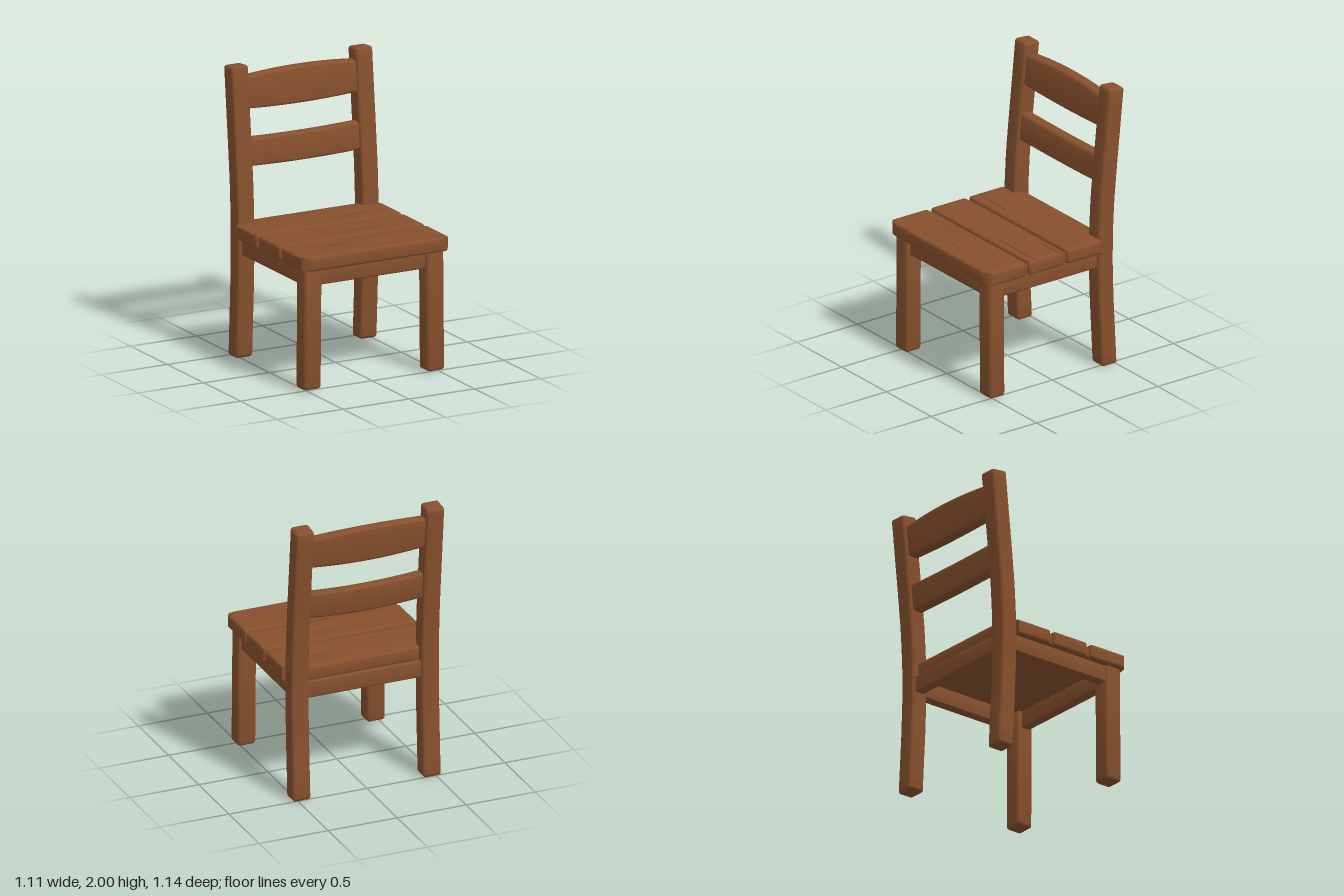
import * as THREE from 'three';
import { toCreasedNormals } from 'three/addons/utils/BufferGeometryUtils.js';

const wood = new THREE.MeshStandardMaterial({ color: 0x87502d });
wood.name = 'brown wood';

// Closed rounded-rectangle section (counter-clockwise), with optional grooves on its +a side
function section(ha, hb, r, grooves, u) {
  const pts = [];
  [[1, 1], [-1, 1], [-1, -1], [1, -1]].forEach(([sa, sb], q) => {
    for (let k = 0; k <= 3; k++) {
      const t = (q + k / 3) * Math.PI / 2;
      pts.push([sa * (ha - r) + r * Math.cos(t), sb * (hb - r) + r * Math.sin(t)]);
    }
  });
  for (const [b, u0, u1, depth] of grooves) {
    const s = THREE.MathUtils.clamp((u - u0) / (u1 - u0), 0, 1);
    const d = depth * Math.sin(s * Math.PI);
    pts.push([ha, b - 0.006], [ha - d, b], [ha, b + 0.006]);
  }
  return pts;
}

// Soft-edged beam running from u0 to u1; place(u, a, b) gives the position [x, y, z]
function beam(name, u0, u1, ha, hb, r, place, { steps = 1, grooves = [] } = {}) {
  const rings = [];
  for (let k = 0; k < 3; k++) {
    const t = k * Math.PI / 6;
    rings.push([u0 + r * (1 - Math.sin(t)), r * (1 - Math.cos(Math.PI / 2 - t))]);
  }
  rings.length = 0;
  for (let k = 0; k < 3; k++) {
    const t = k * Math.PI / 6;
    rings.push([u0 + r * (1 - Math.cos(t)), r * (1 - Math.sin(t))]);
  }
  for (let k = 0; k <= steps; k++) rings.push([u0 + r + (u1 - u0 - 2 * r) * k / steps, 0]);
  for (let k = 2; k >= 0; k--) rings.push([u0 + u1 - rings[k][0], rings[k][1]]);

  const pos = [], index = [];
  let n = 0;
  for (const [u, inset] of rings) {
    const pts = section(ha - inset, hb - inset, Math.max(r - inset, 0.15 * r), grooves, u);
    n = pts.length;
    for (const [a, b] of pts) pos.push(...place(u, a, b));
  }
  for (let i = 0; i < rings.length - 1; i++) {
    for (let j = 0; j < n; j++) {
      const p = i * n + j, q = i * n + (j + 1) % n;
      index.push(p, q, q + n, p, q + n, p + n);
    }
  }
  // End caps
  const last = (rings.length - 1) * n, c = rings.length * n;
  pos.push(...place(u0, 0, 0), ...place(u1, 0, 0));
  for (let j = 0; j < n; j++) {
    const k = (j + 1) % n;
    index.push(c, k, j, c + 1, last + j, last + k);
  }
  const geo = new THREE.BufferGeometry();
  geo.setAttribute('position', new THREE.Float32BufferAttribute(pos, 3));
  geo.setIndex(index);
  const mesh = new THREE.Mesh(toCreasedNormals(geo, 0.7), wood);
  mesh.name = name;
  return mesh;
}

// Depth of the curved back posts at a given height
const postCurve = [[0, -0.451], [0.2, -0.441], [0.45, -0.428], [0.7, -0.42], [0.95, -0.421],
  [1.2, -0.434], [1.45, -0.457], [1.7, -0.482], [2, -0.511]];
function postZ(y) {
  let i = 0;
  while (i < postCurve.length - 2 && y > postCurve[i + 1][0]) i++;
  const [y0, z0] = postCurve[i], [y1, z1] = postCurve[i + 1];
  return z0 + (z1 - z0) * (y - y0) / (y1 - y0);
}

export function createModel() {
  const chair = new THREE.Group();
  chair.name = 'chair';

  // Legs, back posts and side aprons, mirrored
  for (const s of [1, -1]) {
    const side = s > 0 ? 'left' : 'right';
    chair.add(beam(side + 'FrontLeg', 0.01, 0.845, 0.0625, 0.066, 0.022,
      (y, a, b) => [s * (0.469 - 0.008 * y) + b, y, 0.474 + a]));
    chair.add(beam(side + 'BackPost', 0, 2, 0.061, 0.064, 0.02,
      (y, a, b) => [s * 0.472 + b, y + (y > 1.9 ? a * 0.1 - 0.006 : 0), postZ(y) + a], { steps: 24 }));
    chair.add(beam(side + 'Apron', -0.4, 0.45, 0.035, 0.06, 0.01,
      (z, a, b) => [s * 0.475 + a, 0.78 + b, z]));
  }

  // Front and back aprons
  for (const [name, z0] of [['frontApron', 0.475], ['backApron', -0.425]]) {
    chair.add(beam(name, -0.44, 0.44, 0.06, 0.035, 0.01, (x, a, b) => [x, 0.78 + a, z0 + b]));
  }

  // Seat planks with worn grain; front corners are clipped, back corners notched round the posts
  const planks = [
    ['frontPlank', 0.255, 0.57, [[0.315, -0.38, -0.05, 0.005], [0.46, -0.1, 0.2, 0.006], [0.51, -0.4, -0.02, 0.006]]],
    ['middlePlank', -0.06, 0.228, [[-0.02, 0.3, 0.62, 0.012], [0.08, -0.1, 0.3, 0.004], [0.175, 0.05, 0.65, 0.014]]],
    ['backPlank', -0.44, -0.085, [[-0.25, 0.1, 0.42, 0.004], [-0.155, -0.65, -0.12, 0.009]]],
  ];
  for (const [name, z0, z1, grain] of planks) {
    const mid = (z0 + z1) / 2;
    const grooves = grain.map(([z, ...rest]) => [z - mid, ...rest]);
    const place = (x, a, b) => {
      const ax = Math.abs(x);
      let z = Math.min(mid + b, 0.57 - Math.max(0, ax - 0.52));
      if (ax > 0.44) z = Math.max(z, -0.362);
      return [x, 0.886 + a, z];
    };
    chair.add(beam(name, -0.555, 0.555, 0.05, (z1 - z0) / 2, 0.018, place, { steps: 24, grooves }));
  }

  // Recessed strips in the gaps between planks
  for (const z0 of [-0.0725, 0.2415]) {
    chair.add(beam('gapStrip', -0.532, 0.532, 0.035, 0.03, 0.006, (x, a, b) => [x, 0.878 + a, z0 + b]));
  }

  // Back slats: bowed rearward, leaning with the posts
  const slats = [
    ['upperSlat', 1.805, 0.107, 0, 0.018],
    ['lowerSlat', 1.404, 0.094, -0.013, 0],
  ];
  for (const [name, y0, half, shift, swell] of slats) {
    chair.add(beam(name, -0.43, 0.43, half, 0.04, 0.018, (x, a, b) => {
      const bow = 1 - (x / 0.42) ** 2;
      const y = y0 + a * (1 + swell * bow / half) + shift * bow;
      return [x, y, postZ(y0) - (y - y0) * 0.1 + 0.004 - 0.012 * bow + b];
    }, { steps: 16 }));
  }
  return chair;
}
